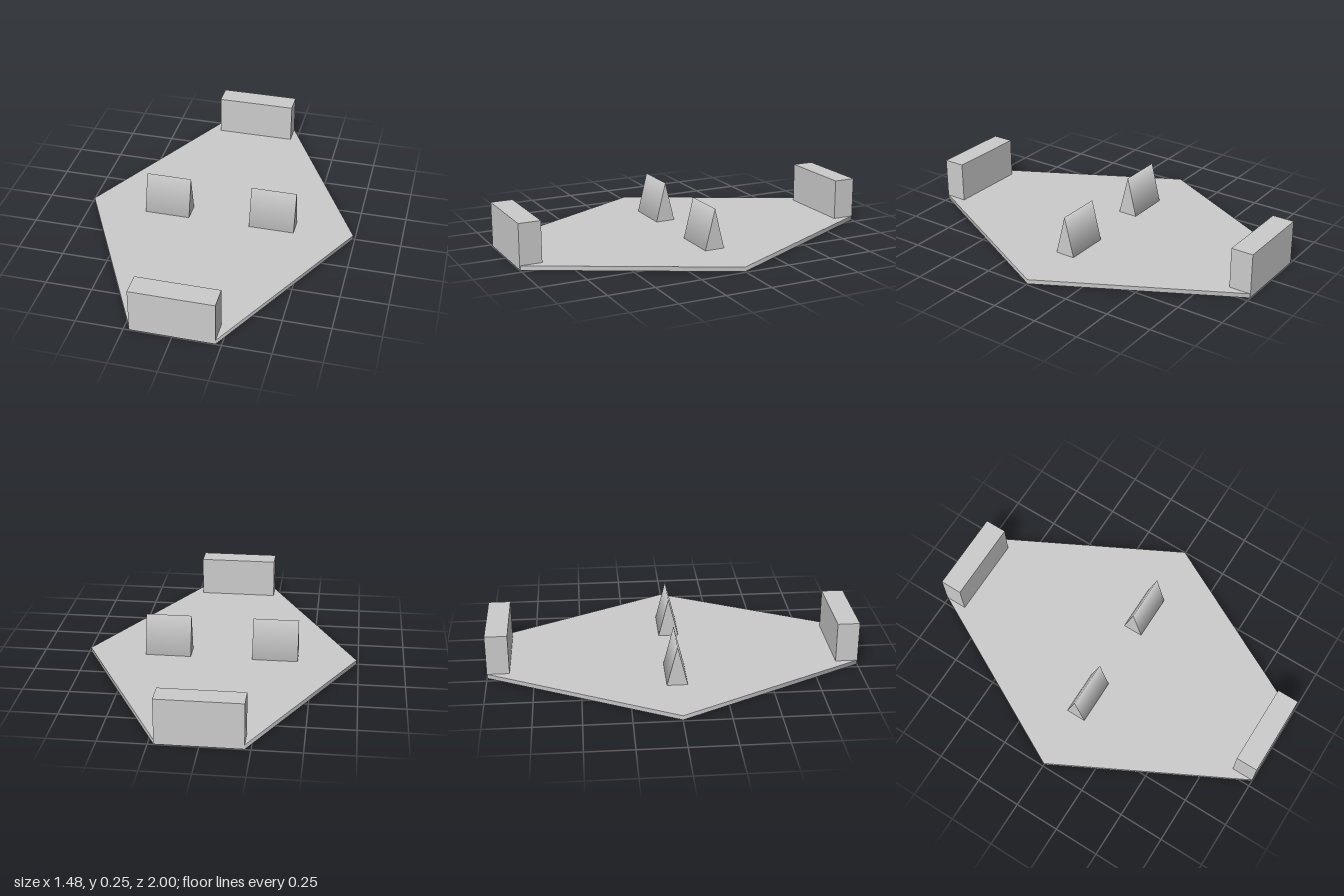
import * as THREE from 'three';

const material = new THREE.MeshStandardMaterial({ color: 0xcccccc });

function addPart(group, name, geometry, x = 0, y = 0, z = 0) {
  const mesh = new THREE.Mesh(geometry, material);
  mesh.name = name;
  mesh.position.set(x, y, z);
  group.add(mesh);
}

// Six-sided plate: pointed at the sides, narrow flat ends front and back
function plateGeometry() {
  const g = new THREE.CylinderGeometry(1, 1, 0.024, 6, 1, false, Math.PI / 2);
  const p = g.attributes.position;
  for (let i = 0; i < p.count; i++) {
    const x = p.getX(i), z = p.getZ(i);
    const ax = Math.abs(x);
    const newX = ax > 0.9 ? 0.74 : ax > 0.1 ? 0.22 : 0;
    p.setX(i, Math.sign(x) * newX);
    p.setZ(i, Math.abs(z) > 0.1 ? Math.sign(z) * 0.997 : 0);
  }
  return g;
}

// Three-sided prism lying along x with its sharp edge up, smooth round the axis
function wedgeGeometry(width, height, depth) {
  const g = new THREE.CylinderGeometry(1, 1, width, 3);
  g.rotateX(-Math.PI / 2);
  g.rotateY(Math.PI / 2);
  g.translate(0, 0.5, 0);
  g.scale(1, height / 1.5, depth / Math.sqrt(3));
  return g;
}

export function createModel() {
  const model = new THREE.Group();
  model.name = 'hexagonalPlatform';

  addPart(model, 'basePlate', plateGeometry(), 0, 0.012, 0);

  // End blocks
  const block = new THREE.BoxGeometry(0.44, 0.243, 0.12);
  addPart(model, 'frontBlock', block, 0, 0.1235, 0.94);
  addPart(model, 'backBlock', block, 0, 0.1235, -0.94);

  // Upright wedges across the middle
  const wedge = wedgeGeometry(0.25, 0.225, 0.112);
  addPart(model, 'leftWedge', wedge, 0.295, 0.02, 0);
  addPart(model, 'rightWedge', wedge, -0.295, 0.02, 0);

  return model;
}
